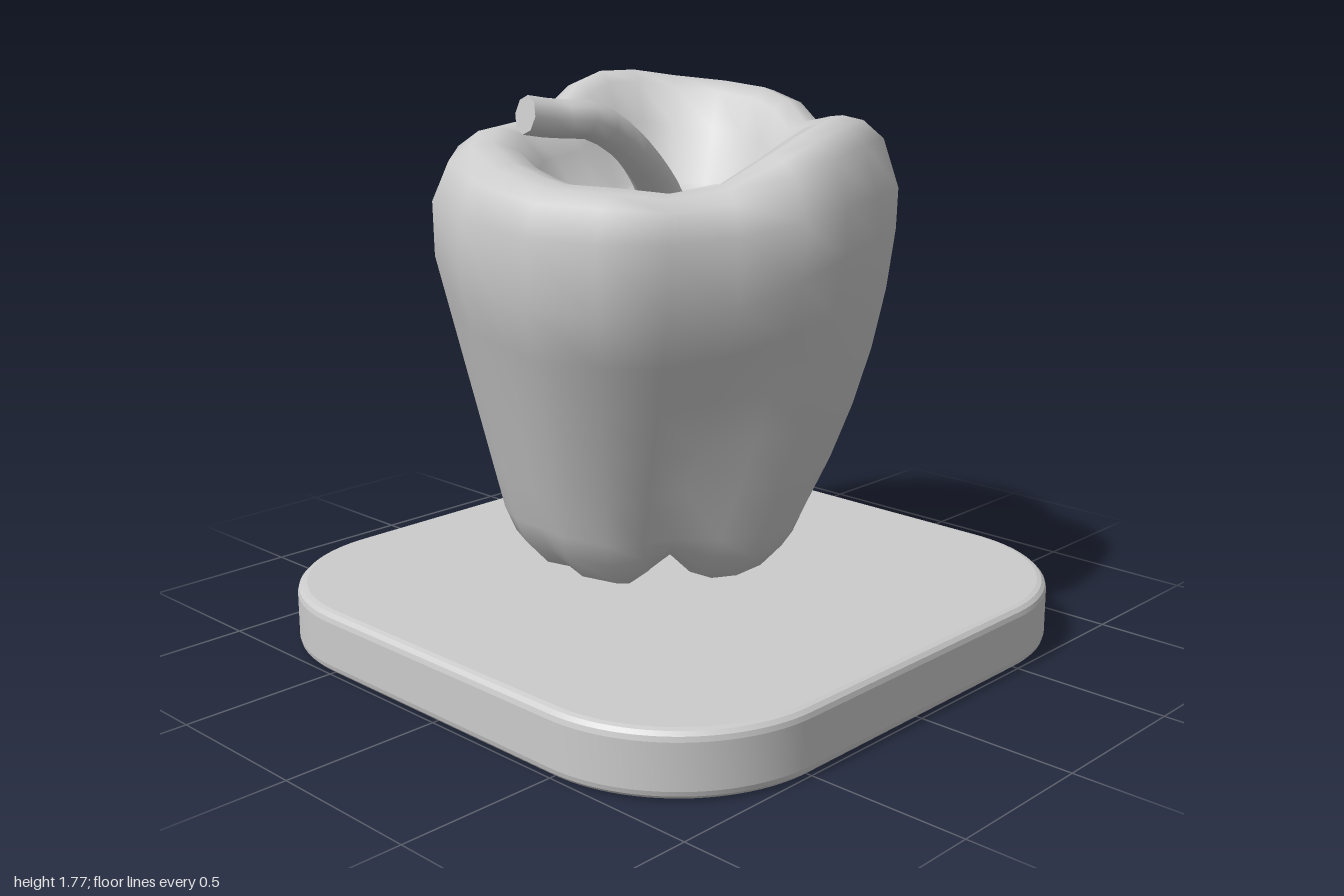
import * as THREE from 'three';
import { toCreasedNormals } from 'three/addons/utils/BufferGeometryUtils.js';

const grey = (side = THREE.FrontSide) => new THREE.MeshStandardMaterial({ color: 0xcccccc, side });

function part(name, geometry, side) {
  const mesh = new THREE.Mesh(geometry, grey(side));
  mesh.name = name;
  return mesh;
}

// Rounded square plate with narrow softened edges
function plate() {
  const bevel = 0.03, h = 1 - bevel, r = 0.47, c = h - r;
  const shape = new THREE.Shape();
  shape.absarc(c, c, r, 0, Math.PI / 2);
  shape.absarc(-c, c, r, Math.PI / 2, Math.PI);
  shape.absarc(-c, -c, r, Math.PI, Math.PI * 1.5);
  shape.absarc(c, -c, r, Math.PI * 1.5, Math.PI * 2);
  const g = new THREE.ExtrudeGeometry(shape, {
    depth: 0.2 - 2 * bevel, bevelThickness: bevel, bevelSize: bevel, bevelSegments: 3, curveSegments: 12,
  });
  g.rotateX(-Math.PI / 2).translate(0, bevel, 0);
  return part('plate', toCreasedNormals(g, 0.2));
}

// One spoke per row: rim x, rim z, crest height, foot x, foot z, depth of the groove
const spokes = [
  [0.70, -0.12, 1.72, 0.53, -0.15, 0], [0.665, 0.05, 1.69, 0.46, -0.03, 0.06],
  [0.60, 0.20, 1.63, 0.40, 0.03, 0.1], [0.54, 0.39, 1.66, 0.42, 0.16, 0.02],
  [0.39, 0.57, 1.68, 0.32, 0.28, 0], [0.20, 0.64, 1.68, 0.18, 0.35, 0],
  [0.02, 0.67, 1.65, 0.02, 0.36, 0], [-0.14, 0.65, 1.60, -0.10, 0.30, 0.03],
  [-0.29, 0.54, 1.52, -0.19, 0.19, 0.1], [-0.48, 0.44, 1.50, -0.29, 0.15, 0.04],
  [-0.64, 0.33, 1.52, -0.38, 0.08, 0], [-0.705, 0.10, 1.52, -0.42, -0.08, 0],
  [-0.68, -0.06, 1.53, -0.40, -0.20, 0.02], [-0.69, -0.20, 1.56, -0.40, -0.31, 0],
  [-0.60, -0.43, 1.60, -0.34, -0.43, 0], [-0.45, -0.56, 1.63, -0.24, -0.50, 0],
  [-0.30, -0.63, 1.63, -0.14, -0.51, 0.03], [-0.10, -0.625, 1.65, -0.04, -0.46, 0.1],
  [0.10, -0.665, 1.74, 0.10, -0.54, 0.02], [0.24, -0.675, 1.77, 0.22, -0.58, 0],
  [0.40, -0.625, 1.77, 0.34, -0.55, 0], [0.54, -0.51, 1.75, 0.44, -0.47, 0],
  [0.66, -0.31, 1.735, 0.51, -0.31, 0],
];

// Profile of one spoke, from the middle of the underside, up the wall, over the crest, into the hollow
function profile([rx, rz, crest, fx, fz, groove]) {
  const cx = 0.05, cz = -0.13, floor = 1.37, pts = [];
  for (const [s, y, l] of [[0, 0.3, 0], [0.3, 0.26, 0.5], [0.55, 0.2, 1], [0.78, 0.24, 0.8], [0.93, 0.32, 0.4]])
    pts.push([cx + (fx - cx) * s, y + groove * l, cz + (fz - cz) * s]);
  // the wall is straight on the left and bulges towards the right and the back
  const bulge = Math.max(0, 0.45 + 0.9 * rx - 0.2 * rz), top = crest - 0.34;
  for (let i = 0; i <= 5; i++) {
    const t = i / 5, arch = t * (1 - t), k = 0.985 * (t + bulge * arch), pull = 1 - 2.4 * groove * arch;
    pts.push([(fx + (rx - fx) * k) * pull, 0.4 + (top - 0.4) * t, (fz + (rz - fz) * k) * pull]);
  }
  // the higher lobes have rounder shoulders
  const round = 0.5 + 2.2 * (crest - 1.5);
  for (const [s, d] of [[1, 0.24], [0.93, 0.075], [0.84, 0.015], [0.75, 0], [0.65, 0.03]])
    pts.push([rx * s, crest - d * round, rz * s]);
  for (const [s, m] of [[0.56, 0.6], [0.45, 0.14], [0.28, 0.02], [0, 0]])
    pts.push([rx * s, floor + (crest - floor) * m, rz * s]);
  return pts;
}

function pepperBody() {
  const columns = spokes.map(profile), n = columns.length, rows = columns[0].length;
  const index = [];
  for (let c = 0; c < n; c++) {
    const d = (c + 1) % n;
    for (let r = 0; r < rows - 1; r++) {
      const a = c * rows + r, b = d * rows + r;
      if (r < rows - 2) index.push(a, a + 1, b + 1);
      else index.push(a, a + 1, b);
      if (r > 0 && r < rows - 2) index.push(a, b + 1, b);
    }
  }
  const g = new THREE.BufferGeometry();
  g.setAttribute('position', new THREE.Float32BufferAttribute(columns.flat(2), 3));
  g.setIndex(index);
  g.computeVertexNormals();
  return part('pepperBody', g);
}

// Small cupped collar with an uneven edge at the foot of the stem
function collar() {
  const g = new THREE.LatheGeometry(
    [[0, 0.02], [0.08, 0.02], [0.14, 0.03], [0.18, 0.06]].map(([x, y]) => new THREE.Vector2(x, y)), 9);
  const p = g.attributes.position;
  for (let i = 0; i < p.count; i++) {
    const x = p.getX(i), z = p.getZ(i), r = Math.hypot(x, z), a = Math.atan2(z, x);
    const wave = 1 + 0.08 * Math.sin(3 * a + 1);
    p.setXYZ(i, x * wave, p.getY(i) + r * 0.12 * Math.sin(4 * a), z * wave);
  }
  g.computeVertexNormals();
  g.translate(-0.02, 1.375, 0);
  return part('collar', g, THREE.DoubleSide);
}

// Bent stem, thicker at the root
function stem() {
  const group = new THREE.Group();
  group.name = 'stem';
  const path = new THREE.CatmullRomCurve3([
    [0, 1.28, -0.01], [-0.05, 1.42, 0], [-0.2, 1.565, 0.05], [-0.3, 1.64, 0.06],
    [-0.4, 1.69, 0.05], [-0.5, 1.698, 0.02], [-0.6, 1.715, 0],
  ].map((p) => new THREE.Vector3(...p)));
  const segs = 12, sides = 8;
  const g = new THREE.TubeGeometry(path, segs, 1, sides);
  const p = g.attributes.position, v = new THREE.Vector3();
  const radius = (t) => 0.056 + 0.03 * Math.pow(1 - t, 4);
  for (let i = 0; i < p.count; i++) {
    const t = Math.floor(i / (sides + 1)) / segs, centre = path.getPointAt(t);
    v.fromBufferAttribute(p, i).sub(centre).multiplyScalar(radius(t)).add(centre);
    p.setXYZ(i, v.x, v.y, v.z);
  }
  const cap = part('stemEnd', new THREE.CircleGeometry(radius(1), sides), THREE.DoubleSide);
  cap.position.copy(path.getPointAt(1));
  cap.lookAt(path.getPointAt(1).add(path.getTangentAt(1)));
  group.add(part('stemStalk', g), cap);
  return group;
}

export function createModel() {
  const model = new THREE.Group();
  model.name = 'pepperOnPlate';
  model.add(plate(), pepperBody(), collar(), stem());
  return model;
}
